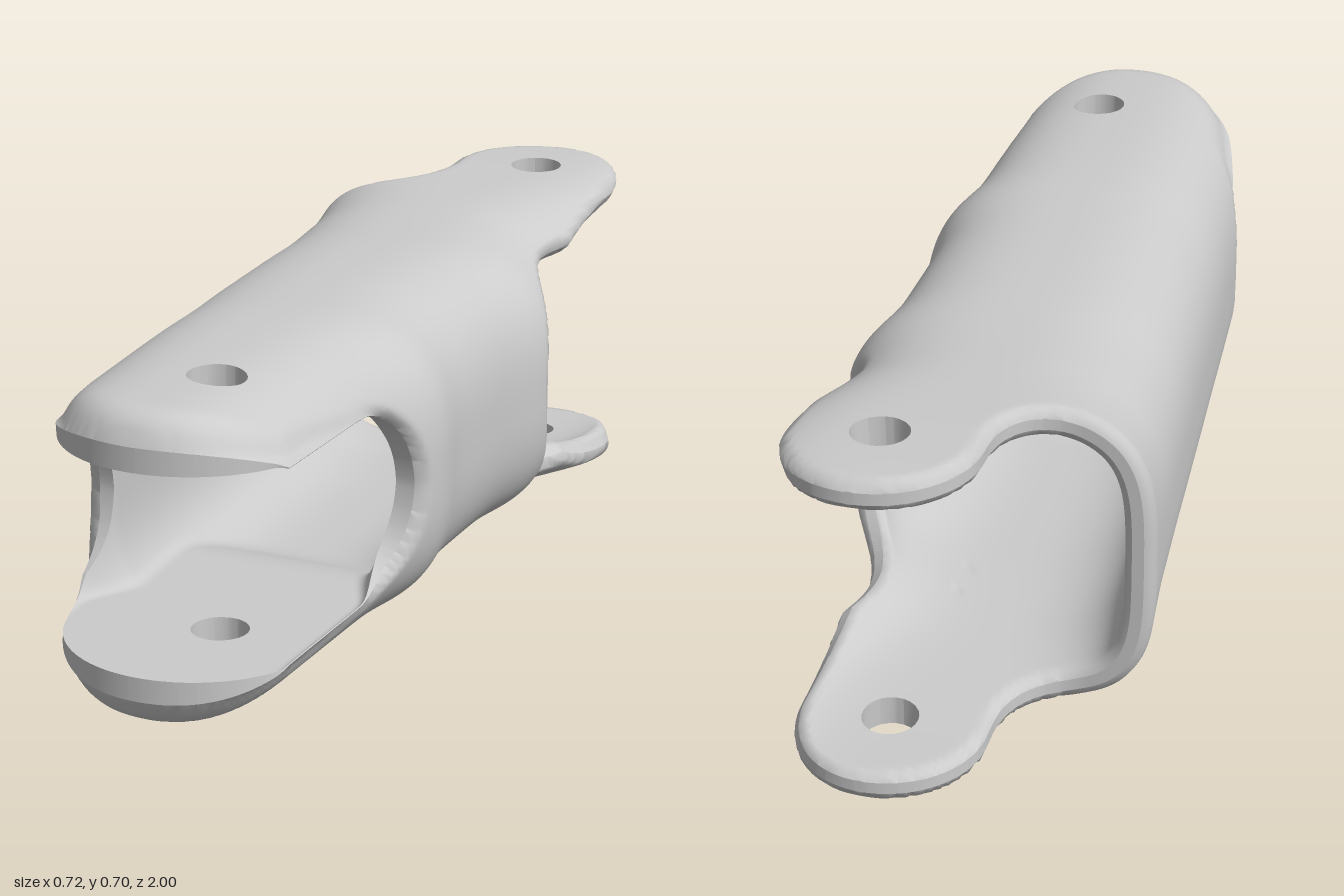
import * as THREE from 'three';

const YC = 0.348, NA = 180, NZ = 152, Z0 = -1.013, Z1 = 1.013;
const smooth = (a, b, v) => {
  const t = Math.min(1, Math.max(0, (v - a) / (b - a)));
  return t * t * (3 - 2 * t);
};
const smax = (a, b, k) => {
  const h = Math.max(k - Math.abs(a - b), 0) / k;
  return Math.max(a, b) + h * h * k / 4;
};
const smin = (a, b, k) => -smax(-a, -b, k);

// Outer cross-section: a rounded square that tapers and flares along z
function section(phi, z) {
  const xl = -0.303 + 0.092 * z;
  const xr = 0.335 + 0.025 * Math.exp(-(((Math.abs(z) - 0.28) / 0.1) ** 2)) + 0.035 * smooth(-0.4, -0.8, z);
  const a = (xr - xl) / 2, cx = (xr + xl) / 2;
  const b = 0.312 + 0.036 * smooth(-0.2, -0.95, z) - 0.012 * smooth(0.3, 1, z);
  const n = 2.8 + 2.2 * smooth(-0.45, -0.9, z);
  const c = Math.cos(phi), s = Math.sin(phi);
  const r = (Math.abs(c) ** n + Math.abs(s) ** n) ** (-1 / n);
  return [cx + a * r * c, b * r * s];
}

// Positive where there is material: side walls joined to the tongues with fillets
function outline(phi, z) {
  const [x, y] = section(phi, z), h = Math.abs(y);
  const frontTongue = Math.min(h - 0.19, 0.258 - Math.hypot(x - 0.067, Math.max(z - 0.742, 0)));
  const frontWall = 0.61 - 0.26 * smooth(-0.1, 0.2, x) - z;
  const backTongue = Math.min(h - 0.25, 0.19 - Math.hypot(x - 0.105, Math.min(z + 0.81, 0)));
  const backWall = z + 0.62 - 0.34 * smooth(-0.1, 0.25, x);
  return Math.min(smax(frontTongue, frontWall, 0.22),
    smax(backTongue, backWall, x > 0.1 ? 0.26 : 0.16));
}

// Pin holes through both tongues
function holes(phi, z) {
  const [x] = section(phi, z);
  return Math.min(Math.hypot(x - 0.105, z - 0.735), Math.hypot(x - 0.105, z + 0.815)) - 0.056;
}
const mask = (phi, z) => Math.min(outline(phi, z), holes(phi, z));

// Outer and inner surface points, with rounded edges
function shellPoints(phi, z) {
  const e = 1e-3, [x, y] = section(phi, z);
  const p = section(phi + e, z), q = section(phi - e, z);
  const tx = p[0] - q[0], ty = p[1] - q[1], len = Math.hypot(tx, ty);
  // wall thickness fades at the front, where the tongues have a flat inner face
  const right = smooth(-0.1, 0.2, x);
  const wall = 0.058 * (1 - (right * smooth(0.36, 0.55, z) + (1 - right) * smooth(0.6, 0.74, z))) + 0.003;
  const flat = 0.3 - 0.105 * smooth(0.05, 0.42, z);
  const ix = x - ty / len * wall, iy0 = y + tx / len * wall;
  const iy = Math.sign(iy0) * smin(Math.abs(iy0), flat, 0.02);
  const thick = Math.hypot(ix - x, iy - y);
  // distance to the rim on the surface
  const gu = (outline(phi + e, z) - outline(phi - e, z)) / len;
  const gz = (outline(phi, z + e) - outline(phi, z - e)) / (2 * e);
  const d = Math.max(0, outline(phi, z) / Math.max(0.3, Math.hypot(gu, gz)));
  const drop = r => (d < r ? r - Math.sqrt(r * r - (r - d) ** 2) : 0);
  const fo = Math.min(0.55, drop(0.022 + 0.048 * smooth(0.55, 0.8, z)) / thick);
  const fi = z < 0.3 ? Math.min(0.3, drop(0.016) / thick) : 0;
  const at = f => [x + (ix - x) * f, YC + y + (iy - y) * f, z];
  return [at(fo), at(1 - fi)];
}

// Trim an angle-by-length grid against the mask
function trimGrid() {
  const outer = [], inner = [], faces = [], rim = [], cache = new Map();
  const phiAt = i => (i + 0.37) / NA * Math.PI * 2;
  const zAt = j => Z0 + (Z1 - Z0) * j / NZ;
  const values = [];
  for (let j = 0; j <= NZ; j++) for (let i = 0; i < NA; i++) values.push(mask(phiAt(i), zAt(j)));
  const value = ([i, j]) => values[j * NA + i % NA];
  const vertex = (key, phi, z) => {
    if (!cache.has(key)) {
      const [o, n] = shellPoints(phi, z);
      cache.set(key, outer.length / 3);
      outer.push(...o);
      inner.push(...n);
    }
    return cache.get(key);
  };
  const id = ([i, j]) => j * NA + i % NA;
  const corner = c => vertex('c' + id(c), phiAt(c[0]), zAt(c[1]));
  const crossing = (a, b) => {
    if (value(a) <= 0) [a, b] = [b, a];
    let lo = 0, hi = 1;
    const at = t => [phiAt(a[0] + (b[0] - a[0]) * t), zAt(a[1] + (b[1] - a[1]) * t)];
    for (let k = 0; k < 12; k++) {
      const m = (lo + hi) / 2;
      if (mask(...at(m)) > 0) lo = m; else hi = m;
    }
    return vertex('e' + id(a) + '_' + id(b), ...at(lo));
  };
  for (let j = 0; j < NZ; j++) for (let i = 0; i < NA; i++) {
    const quad = [[i, j], [i + 1, j], [i + 1, j + 1], [i, j + 1]];
    const poly = [];
    let exit = -1, entry = -1;
    quad.forEach((a, k) => {
      const b = quad[(k + 1) % 4], ina = value(a) > 0, inb = value(b) > 0;
      if (ina) poly.push(corner(a));
      if (ina !== inb) {
        const v = crossing(a, b);
        poly.push(v);
        if (ina) exit = v; else entry = v;
      }
    });
    for (let k = 1; k + 1 < poly.length; k++) faces.push(poly[0], poly[k], poly[k + 1]);
    if (exit >= 0) rim.push([exit, entry]);
  }
  return { outer, inner, faces, rim };
}

function surface(name, positions, index, material) {
  const g = new THREE.BufferGeometry();
  g.setAttribute('position', new THREE.Float32BufferAttribute(positions, 3));
  g.setIndex(index);
  g.computeVertexNormals();
  const mesh = new THREE.Mesh(g, material);
  mesh.name = name;
  return mesh;
}

export function createModel() {
  const group = new THREE.Group();
  group.name = 'hollowLink';
  const material = new THREE.MeshStandardMaterial({ color: 0xcccccc });
  const { outer, inner, faces, rim } = trimGrid();

  // Outside and inside of the link body
  group.add(surface('outerShell', outer, faces, material));
  const flipped = [];
  for (let k = 0; k < faces.length; k += 3) flipped.push(faces[k], faces[k + 2], faces[k + 1]);
  group.add(surface('innerShell', inner, flipped, material));

  // Rim strip along the openings, tongues and pin holes
  const n = outer.length / 3, strip = [];
  for (const [a, b] of rim) strip.push(b, a, a + n, b, a + n, b + n);
  group.add(surface('rim', outer.concat(inner), strip, material));
  return group;
}
